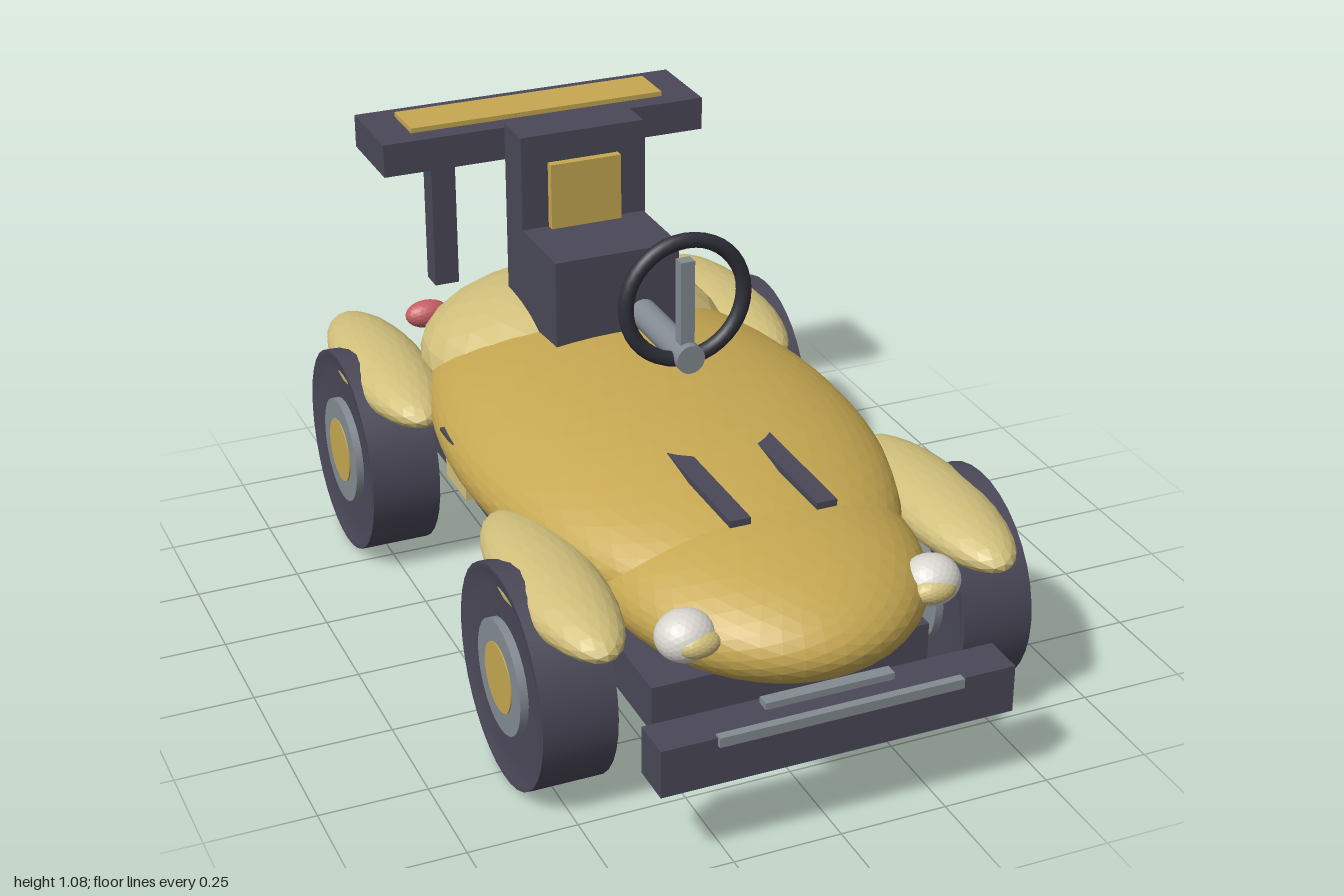
import * as THREE from 'three';

const mat = (name, color) => {
  const m = new THREE.MeshStandardMaterial({ color });
  m.name = name;
  return m;
};

export function createModel() {
  const gold = mat('gold paint', 0xc6a852);
  const pale = mat('pale gold paint', 0xd0bf7b);
  const dark = mat('charcoal', 0x4a4858);
  const black = mat('black rubber', 0x30303a);
  const grey = mat('grey metal', 0x838b92);
  const white = mat('lamp white', 0xd9d6d0);
  const red = mat('tail light red', 0xc45f64);

  const car = new THREE.Group();
  car.name = 'buggy';

  const add = (name, geometry, material, x = 0, y = 0, z = 0, parent = car) => {
    const mesh = new THREE.Mesh(geometry, material);
    mesh.name = name;
    mesh.position.set(x, y, z);
    parent.add(mesh);
    return mesh;
  };
  // box given by its minimum and maximum corners
  const box = (name, material, [x0, y0, z0], [x1, y1, z1]) =>
    add(name, new THREE.BoxGeometry(x1 - x0, y1 - y0, z1 - z0), material,
      (x0 + x1) / 2, (y0 + y1) / 2, (z0 + z1) / 2);
  // faceted ellipsoid
  const blob = (name, material, [x, y, z], [rx, ry, rz], detail) => {
    const g = new THREE.IcosahedronGeometry(1, detail);
    g.scale(rx, ry, rz);
    g.computeVertexNormals();
    return add(name, g, material, x, y, z);
  };
  // cylinder along z
  const rod = (name, material, r, x, y, z0, z1) => {
    const g = new THREE.CylinderGeometry(r, r, z1 - z0, 20);
    g.rotateX(Math.PI / 2);
    return add(name, g, material, x, y, (z0 + z1) / 2);
  };

  // body shell
  blob('body', gold, [0, 0.465, 0], [0.48, 0.185, 0.835], 10);
  blob('nose', gold, [0, 0.43, 0.54], [0.362, 0.16, 0.455], 8);
  blob('engineCover', pale, [0, 0.5, -0.52], [0.387, 0.172, 0.32], 4);
  box('chassis', dark, [-0.33, 0.19, -0.78], [0.33, 0.3, 0.75]);

  // front bumper
  box('bumper', dark, [-0.41, 0.195, 0.885], [0.41, 0.308, 0.985]);
  box('bumperTrim', grey, [-0.283, 0.29, 0.975], [0.283, 0.313, 0.995]);
  box('bumperLip', grey, [-0.15, 0.3, 0.9], [0.15, 0.324, 0.93]);

  // seat
  box('seatCushion', dark, [-0.157, 0.6, -0.445], [0.157, 0.848, -0.222]);
  box('seatBack', dark, [-0.157, 0.6, -0.547], [0.157, 1.083, -0.437]);
  box('seatPanel', gold, [-0.09, 0.846, -0.438], [0.09, 1.012, -0.416]);

  // steering
  add('steeringWheel', new THREE.TorusGeometry(0.143, 0.018, 10, 40), black, 0, 0.893, 0.17);
  box('steeringSpoke', grey, [-0.017, 0.76, 0.155], [0.017, 0.99, 0.185]);
  rod('steeringColumn', grey, 0.034, 0, 0.76, -0.07, 0.205);

  // rear wing
  box('wing', dark, [-0.42, 0.935, -0.907], [0.42, 1.018, -0.68]);
  box('wingPanel', gold, [-0.332, 1.015, -0.857], [0.332, 1.03, -0.732]);

  // wheel: dished tyre, hub and cap, axle along x
  const tyreGeo = new THREE.LatheGeometry([
    [0, -0.07], [0.2, -0.07], [0.24, -0.085], [0.253, -0.085],
    [0.253, -0.085], [0.253, 0.085], [0.253, 0.085],
    [0.24, 0.085], [0.2, 0.07], [0, 0.07],
  ].map(([r, h]) => new THREE.Vector2(r, h)), 36);
  tyreGeo.rotateZ(-Math.PI / 2);
  const disc = (r, w) => new THREE.CylinderGeometry(r, r, w, 28).rotateZ(Math.PI / 2);
  const hubGeo = disc(0.131, 0.178);
  const capGeo = disc(0.08, 0.184);

  for (const [side, s] of [['left', 1], ['right', -1]]) {
    // mirrored box
    const pair = (name, material, a, b) => {
      const m = box(`${side}${name}`, material, a, b);
      m.position.x *= s;
    };

    for (const [end, z] of [['Front', 0.513], ['Rear', -0.625]]) {
      const wheel = new THREE.Group();
      wheel.name = `${side}${end}Wheel`;
      wheel.position.set(s * 0.496, 0.253, z);
      car.add(wheel);
      add('tyre', tyreGeo, dark, 0, 0, 0, wheel);
      add('hub', hubGeo, grey, 0, 0, 0, wheel);
      add('hubCap', capGeo, gold, 0, 0, 0, wheel);
      blob(`${side}${end}Fender`, pale, [s * 0.461, 0.456, z - 0.003], [0.108, 0.066, 0.327], 4);
    }

    // lamps
    blob(`${side}Headlight`, white, [s * 0.286, 0.462, 0.823], [0.066, 0.056, 0.062], 4);
    blob(`${side}HeadlightLens`, pale, [s * 0.274, 0.46, 0.862], [0.05, 0.03, 0.032], 3);
    blob(`${side}TailLight`, red, [s * 0.27, 0.472, -0.855], [0.058, 0.036, 0.036], 3);

    // trim, struts and pipes
    pair('HoodStripe', dark, [0.077, 0.609, 0.25], [0.125, 0.625, 0.69]);
    pair('SideIntake', pale, [0.34, 0.33, -0.26], [0.43, 0.412, -0.122]);
    pair('SideVent', dark, [0.4, 0.494, -0.18], [0.468, 0.503, -0.09]);
    pair('WingStrut', dark, [0.223, 0.605, -0.79], [0.285, 0.94, -0.73]);
    rod(`${side}Exhaust`, grey, 0.065, s * 0.172, 0.307, -1.0, -0.68);
  }
  return car;
}
